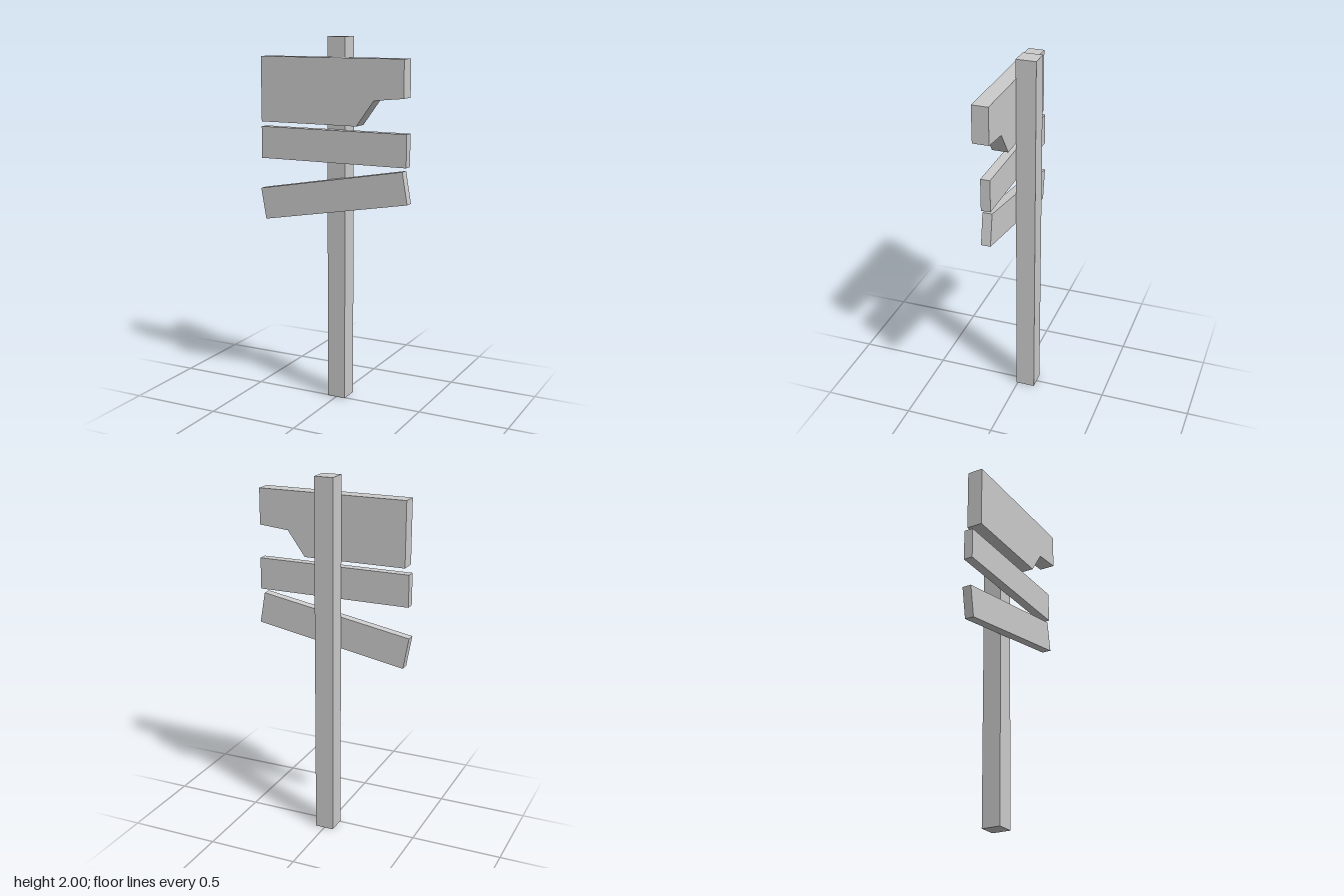
import * as THREE from 'three';

export function createModel() {
  const group = new THREE.Group();
  group.name = 'signpost';
  const material = new THREE.MeshStandardMaterial({ color: 0xcccccc, flatShading: true });

  function add(name, geometry, x, y, z, tilt = 0) {
    const mesh = new THREE.Mesh(geometry, material);
    mesh.name = name;
    mesh.position.set(x, y, z);
    mesh.rotation.z = tilt;
    group.add(mesh);
  }

  // Square upright post
  add('post', new THREE.BoxGeometry(0.105, 2, 0.107), 0, 1, -0.0465);

  // Large top board with a broken lower corner
  const outline = [
    [-0.408, 1.544], [0.161, 1.544], [0.26, 1.68],
    [0.427, 1.696], [0.427, 1.894], [-0.408, 1.894],
  ].map(([x, y]) => new THREE.Vector2(x, y));
  add('brokenTopBoard', new THREE.ExtrudeGeometry(new THREE.Shape(outline), {
    depth: 0.088, bevelEnabled: false,
  }), 0, 0, 0.009);

  // Two thin planks, the lower one hanging at a tilt
  const plank = new THREE.BoxGeometry(0.861, 0.174, 0.051);
  add('middleBoard', plank, -0.002, 1.425, 0.0325);
  add('tiltedLowerBoard', plank, -0.002, 1.157, 0.0325, 0.173);

  return group;
}
